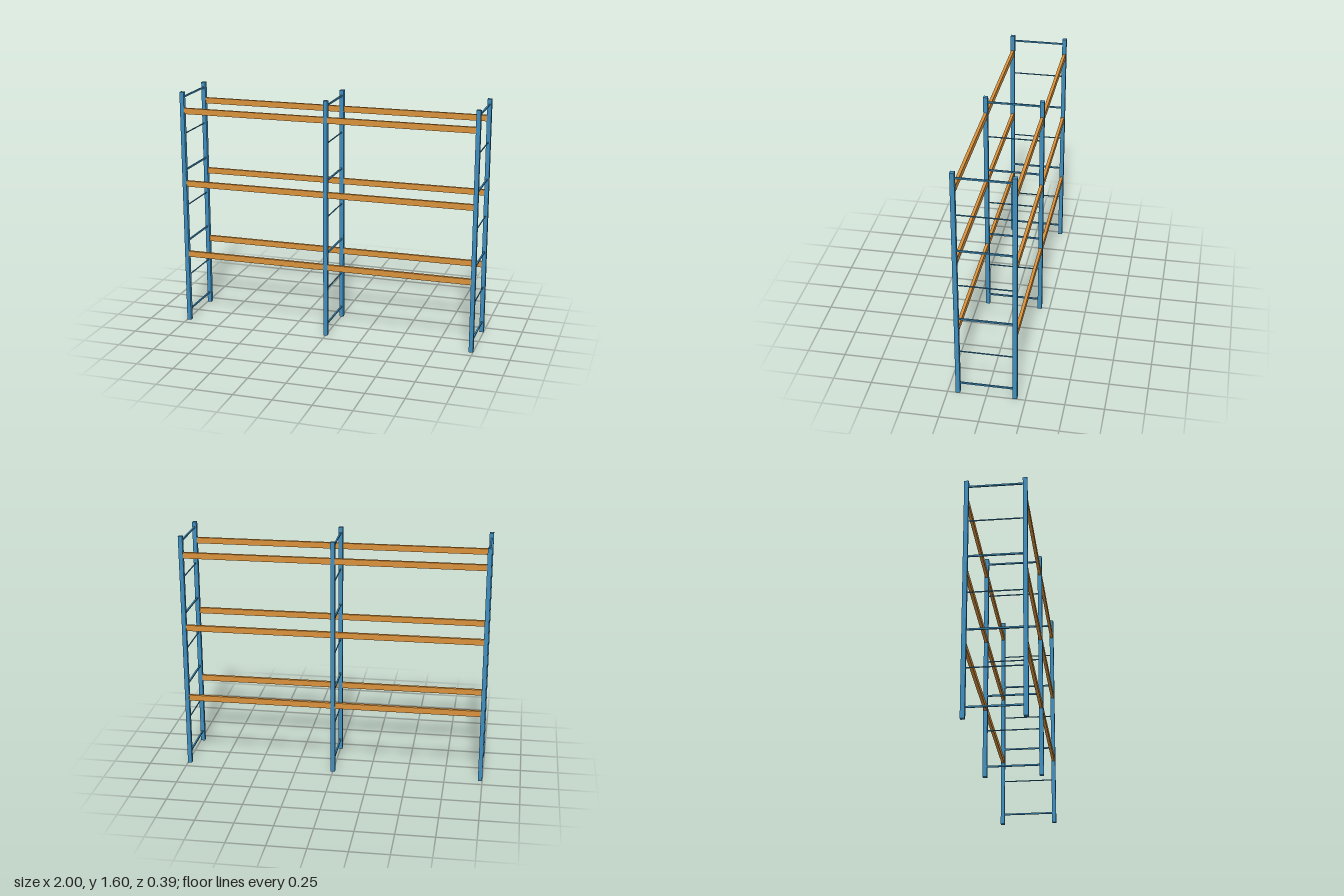
import * as THREE from 'three';

const HEIGHT = 1.595, POST = 0.028, POST_Z = 0.183;
const FRAME_X = [-0.986, 0, 0.986];

export function createModel() {
  const rack = new THREE.Group();
  rack.name = 'storageRack';
  const blue = new THREE.MeshStandardMaterial({ color: 0x3f8fbf });
  const orange = new THREE.MeshStandardMaterial({ color: 0xdb923c });

  const addBox = (parent, name, material, size, position) => {
    const mesh = new THREE.Mesh(new THREE.BoxGeometry(...size), material);
    mesh.name = name;
    mesh.position.set(...position);
    parent.add(mesh);
  };

  // Upright frames: two posts joined by alternating thick and thin rungs
  for (const x of FRAME_X) {
    const frame = new THREE.Group();
    frame.name = 'uprightFrame';
    frame.position.x = x;
    for (const side of [1, -1]) {
      addBox(frame, side > 0 ? 'frontPost' : 'backPost', blue,
        [POST, HEIGHT, POST], [0, HEIGHT / 2, side * POST_Z]);
    }
    for (let i = 0; i < 7; i++) {
      const t = i % 2 ? 0.006 : 0.01;
      addBox(frame, i % 2 ? 'thinRung' : 'thickRung', blue,
        [t, t, 2 * POST_Z - POST], [0, 0.072 + i * 0.2477, 0]);
    }
    rack.add(frame);
  }

  // Shelf beams: front and back, three levels in each bay
  for (let bay = 0; bay < 2; bay++) {
    const x0 = FRAME_X[bay], x1 = FRAME_X[bay + 1];
    for (const y of [0.478, 0.973, 1.468]) {
      for (const side of [1, -1]) {
        addBox(rack, side > 0 ? 'frontBeam' : 'backBeam', orange,
          [x1 - x0 - POST, 0.039, 0.02], [(x0 + x1) / 2, y, side * POST_Z]);
      }
    }
  }
  return rack;
}
